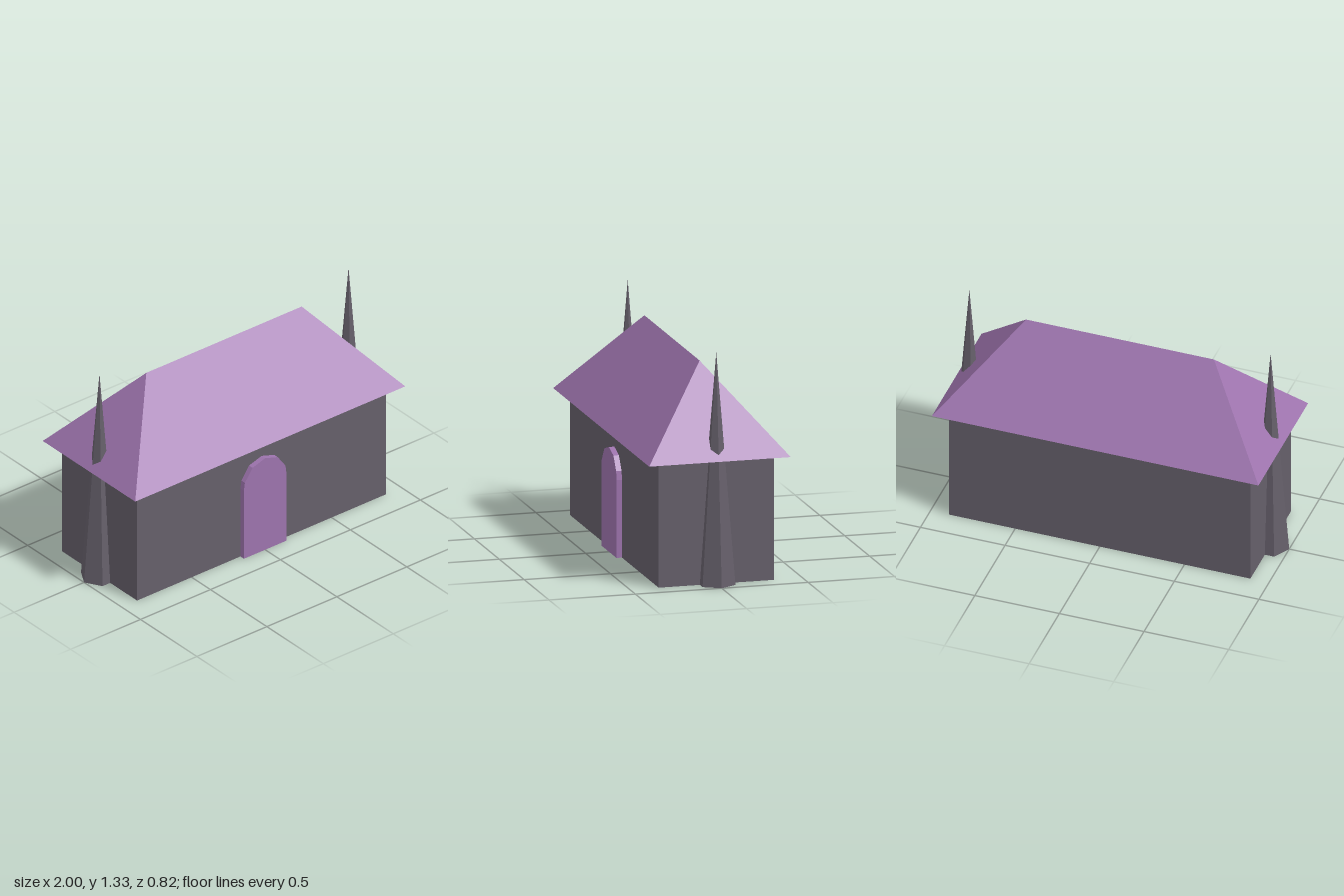
import * as THREE from 'three';

export function createModel() {
  const group = new THREE.Group();
  const stone = new THREE.MeshStandardMaterial({ color: 0x655f6a });
  const purple = new THREE.MeshStandardMaterial({ color: 0x9d73ad });
  stone.name = 'stone grey';
  purple.name = 'roof purple';

  const add = (name, geometry, material, x = 0, y = 0, z = 0) => {
    const mesh = new THREE.Mesh(geometry, material);
    mesh.name = name;
    mesh.position.set(x, y, z);
    group.add(mesh);
    return mesh;
  };
  const flat = (geometry) => {
    const g = geometry.toNonIndexed();
    g.computeVertexNormals();
    return g;
  };

  // Walls
  const wallHeight = 0.717;
  add('walls', new THREE.BoxGeometry(1.78, wallHeight, 0.667), stone, 0, wallHeight / 2, 0);

  // Hipped roof: a box whose top is pinched into a ridge
  const roofHeight = 0.485;
  const roof = new THREE.BoxGeometry(1.93, roofHeight, 0.82);
  const p = roof.attributes.position;
  for (let i = 0; i < p.count; i++) {
    if (p.getY(i) > 0) {
      p.setX(i, Math.sign(p.getX(i)) * 0.555);
      p.setZ(i, 0);
    }
  }
  // Each ridge corner collapses to one point, so the end faces keep one real triangle
  add('roof', flat(roof), purple, 0, 0.715 + roofHeight / 2, 0);

  // Arched door slab
  const half = [[0.152, 0], [0.152, 0.445], [0.145, 0.495], [0.09, 0.572]];
  const outline = [
    ...half,
    [0, 0.6],
    ...half.map(([x, y]) => [-x, y]).reverse(),
  ].map(([x, y]) => new THREE.Vector2(x, y));
  const door = new THREE.ExtrudeGeometry(new THREE.Shape(outline), { depth: 0.045, bevelEnabled: false });
  add('door', door, purple, 0, 0, 0.32);

  // Six-sided spires rising through the roof at both ends
  const spireHeight = 1.325;
  for (const side of [-1, 1]) {
    const cone = new THREE.ConeGeometry(0.11, spireHeight, 6);
    cone.rotateY(Math.PI / 2);
    add(side > 0 ? 'leftSpire' : 'rightSpire', flat(cone), stone, side * 0.89, spireHeight / 2, 0);
  }

  return group;
}
